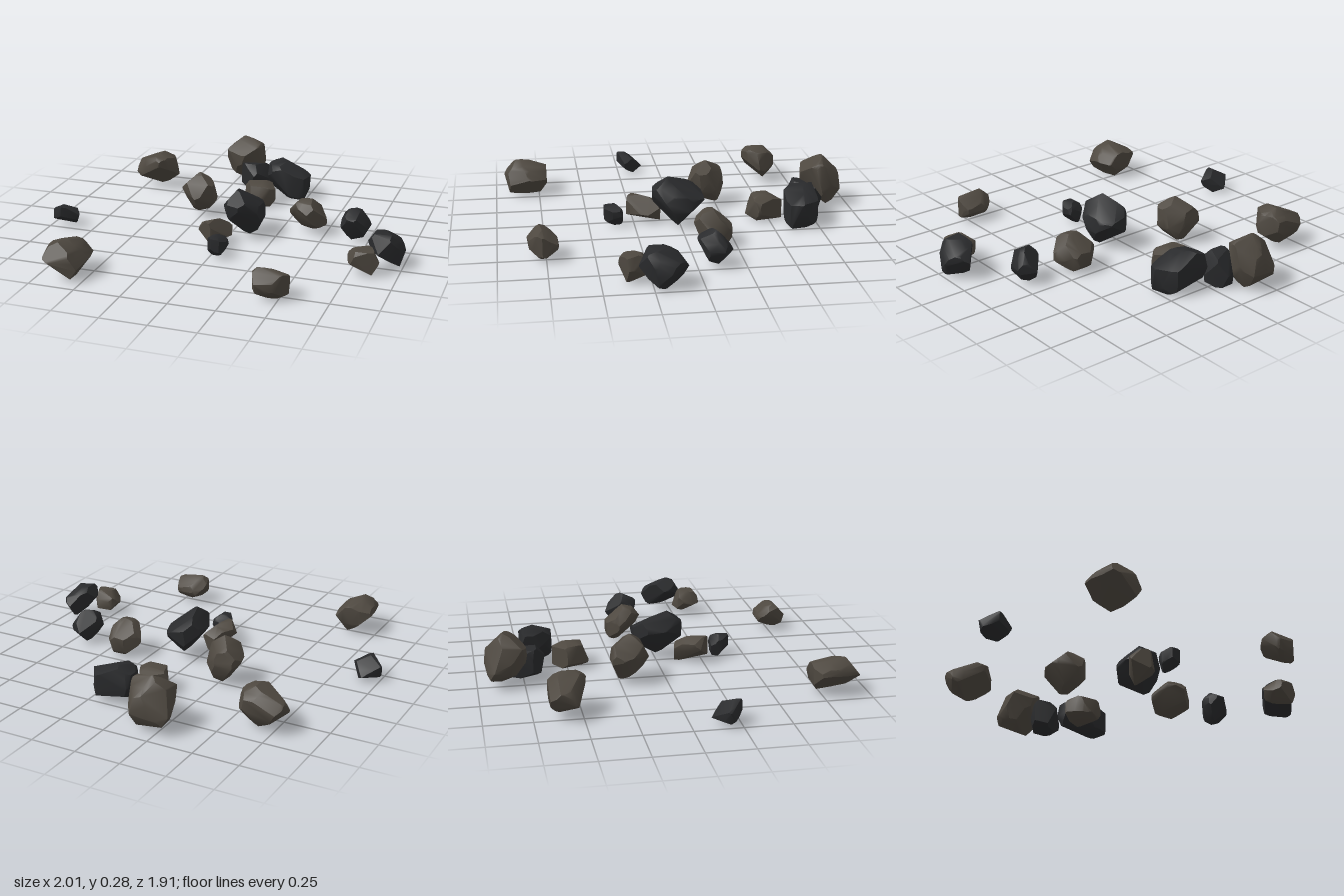
import * as THREE from 'three';
import { ConvexGeometry } from 'three/addons/geometries/ConvexGeometry.js';
import { toCreasedNormals } from 'three/addons/utils/BufferGeometryUtils.js';

const brown = new THREE.MeshStandardMaterial({ name: 'brownStone', color: 0x4e4840 });
const dark = new THREE.MeshStandardMaterial({ name: 'darkStone', color: 0x292a2c });

const V = (x, y, z) => new THREE.Vector3(x, y, z);
const SLACK = 0.006;

// A tilted carving plane, turned about y and raised, with its origin at the mid height
function tilted(turn, rise) {
  const t = THREE.MathUtils.degToRad(turn), e = THREE.MathUtils.degToRad(rise);
  return {
    u: V(Math.cos(t), 0, -Math.sin(t)),
    v: V(-Math.sin(e) * Math.sin(t), Math.cos(e), -Math.sin(e) * Math.cos(t)),
    origin: V(0, 0.1425, 0),
  };
}

// Planes on which the carving profiles are drawn
const planes = {
  plan: { u: V(1, 0, 0), v: V(0, 0, 1), origin: V(0, 0, 0) },
  front: { u: V(1, 0, 0), v: V(0, 1, 0), origin: V(0, 0, 0) },
  side: { u: V(0, 0, 1), v: V(0, 1, 0), origin: V(0, 0, 0) },
  fore: tilted(35, 25),
  rear: tilted(215, 25),
  under: tilted(140, -30),
};

function corners(geometry) {
  const p = geometry.attributes.position;
  return Array.from({ length: p.count }, (_, i) => V().fromBufferAttribute(p, i));
}

function unique(points, step) {
  const seen = new Map();
  for (const p of points) seen.set(p.toArray().map((c) => Math.round(c / step)).join(), p);
  return [...seen.values()];
}

// Slice a convex body, keeping the part where normal . p <= limit
function slice(body, normal, limit) {
  const tri = corners(body);
  const depth = tri.map((p) => normal.dot(p) - limit);
  if (depth.every((d) => d <= 0)) return body;
  const kept = tri.filter((_, i) => depth[i] <= 0);
  for (let i = 0; i < tri.length; i++) {
    const j = i % 3 === 2 ? i - 2 : i + 1;
    if (depth[i] * depth[j] < 0) kept.push(tri[i].clone().lerp(tri[j], depth[i] / (depth[i] - depth[j])));
  }
  return new ConvexGeometry(unique(kept, 1e-4));
}

// A chipped stone, carved from a block along convex profiles (pairs, in hundredths)
function stone(name, material, profiles) {
  let body = new ConvexGeometry(unique(corners(new THREE.BoxGeometry(2.4, 0.3, 2.4).translate(0, 0.153, 0)), 1e-4));
  for (const [key, profile] of Object.entries(profiles)) {
    const { u, v, origin } = planes[key];
    const pts = [];
    for (let i = 0; i < profile.length; i += 2) pts.push(new THREE.Vector2(profile[i], profile[i + 1]).divideScalar(100));
    const centre = pts.reduce((s, p) => s.add(p), new THREE.Vector2()).divideScalar(pts.length);
    pts.forEach((a, i) => {
      const b = pts[(i + 1) % pts.length];
      const n = new THREE.Vector2(b.y - a.y, a.x - b.x).normalize();
      if (n.dot(a) < n.dot(centre)) n.negate();
      const normal = u.clone().multiplyScalar(n.x).addScaledVector(v, n.y);
      body = slice(body, normal, n.dot(a) + normal.dot(origin) + SLACK);
    });
  }
  const mesh = new THREE.Mesh(toCreasedNormals(new ConvexGeometry(unique(corners(body), 0.012)), 0.7), material);
  mesh.name = name;
  return mesh;
}

export function createModel() {
  const group = new THREE.Group();
  group.name = 'scatteredStones';

  // Back cluster
  group.add(
    stone('backTallStone', brown, {
      plan: [-31, -91, -27, -94, -12, -95, -9, -89, -9, -81, -16, -73, -31, -77],
      front: [-31, 10, -28, 22, -20, 28.5, -9, 25, -8, 10, -14, 0, -25, 0],
      side: [-73, 10, -74, 19, -85, 28.5, -94, 20, -95, 10, -89, 0, -78, 0],
      fore: [20, 42, 23, 46, 33, 47, 42, 40, 44, 32, 39, 22, 26, 26],
      rear: [-46, -44, -43, -23, -39, -21, -20, -25, -20, -29, -27, -47],
      under: [59, 35, 61, 39, 73, 38, 83, 19, 70, 16, 62, 22] }),
    stone('backSmallStone', dark, {
      plan: [-17, -70, -8, -63, 0, -73, -7, -83, -15, -78],
      front: [-18, 6, -16, 17, 0, 15, 0, 3, -4, 0, -15, 0],
      side: [-63, 10, -68, 16, -80, 14, -83, 8, -80, 0, -66, 0],
      under: [46, 20, 53, 28, 62, 20, 60, 13, 51, 11] }),
    stone('backBlockStone', dark, {
      plan: [1, -75, 20, -74, 27, -66, 24, -59, 17, -57, 5, -59, 1, -63],
      front: [1, 5, 1, 18, 10, 21.5, 27, 17, 24, 1, 3, 0],
      side: [-57, 8, -58, 19, -73, 21.5, -75, 12, -73, 1, -58, 0],
      fore: [38, 20, 40, 28, 47, 31, 59, 22, 60, 10, 54, 3, 46, 6],
      rear: [-60, -30, -59, -16, -42, -14, -37, -18, -38, -32],
      under: [18, 28, 22, 34, 44, 36, 47, 27, 43, 20, 21, 16] }),
    stone('backCubeStone', brown, {
      plan: [-8, -50, 4, -57, 11, -44, 1, -38, -7, -44],
      front: [-9, 2, -9, 12, 3, 13.5, 11, 10, 10, 0, -7, 0],
      side: [-38, 2, -42, 12, -46, 13.5, -57, 13, -57, 1, -40, 1],
      fore: [21, 3, 22, 15, 24, 17, 37, 15, 36, 6, 31, 1],
      under: [19, 11, 22, 20, 39, 20, 39, 8, 24, 4] }),
    stone('backOuterStone', brown, {
      plan: [-79, -66, -60, -67, -54, -58, -56, -54, -63, -48, -79, -54],
      front: [-79, 9, -79, 15, -64, 21.5, -57, 19, -53, 11, -60, 0, -65, 1],
      side: [-48, 18, -51, 21.5, -60, 21.5, -66, 16, -66, 8, -60, 0, -50, 0],
      fore: [-35, 33, -30, 41, -19, 44, -11, 40, -11, 29, -18, 25, -32, 30],
      rear: [11, -40, 13, -29, 16, -27, 25, -28, 35, -44, 19, -49],
      under: [77, 1, 80, 8, 89, 9, 101, -2, 94, -11] }),
  );

  // Middle cluster
  group.add(
    stone('middleWestStone', brown, {
      plan: [-34, -30, -25, -29, -18, -24, -17, -16, -25, -8, -36, -17, -38, -22],
      front: [-38, 11, -37, 15, -26, 25.5, -18, 20, -17, 10, -25, 0.5, -30, 4],
      side: [-8, 10, -13, 20, -19, 25.7, -28, 22, -29, 12, -25, 2, -15, 0],
      fore: [-20, 16, -16, 22, -10, 23, -5, 20, -1, 9, -4, 4, -13, 3],
      rear: [1, -16, 4, -6, 10, -3, 19, -6, 19, -14, 10, -27, 4, -24],
      under: [22, -1, 23, 8, 39, 10, 46, -1, 35, -11, 28, -9] }),
    stone('centreStone', dark, {
      plan: [-2, -11, 13, -12, 17, -5, 17, 8, 8, 15, 2, 14, -3, 5],
      front: [-3, 17, 5, 27, 16, 18, 17, 10, 13, 0.5, 0, 1],
      side: [15, 8, 15, 20, 5, 27.5, -6, 25, -12, 18, -12, 10, -3, 1, 8, 0],
      fore: [-8, -3, -4, 6, 3, 10, 18, 3, 18, -4, 9, -16, -5, -8],
      rear: [-18, 1, -15, 6, -1, 15, 7, 13, 6, 5, -7, -9],
      under: [-18, 3, -13, 9, 4, 11, 5, 3, -9, -8] }),
    stone('centreLeaningStone', brown, {
      plan: [-12, 22, -4, 10, 5, 12, 5, 20, -3, 28],
      front: [-12, 8, -9, 14, 4, 14, 5, 5, -2, 0, -6, 2],
      fore: [-23, -11, -20, -7, -8, -6, -4, -10, -6, -15, -19, -18],
      under: [-18, -22, -17, -15, -9, -8, -3, -11, -6, -17] }),
    stone('centrePebble', dark, {
      plan: [-1, 32, 8, 32, 8, 37, 6, 41, 2, 41, -1, 37],
      front: [-1, 1, -2, 9, 3, 12.5, 8, 9, 8, 1],
      side: [31, 5, 33, 12, 41, 11, 42, 5, 38, 0, 33, 0],
      fore: [-23, -16, -19, -15, -14, -15, -12, -20, -18, -26, -22, -22],
      under: [-32, -17, -27, -13, -21, -19, -23, -25, -31, -22] }),
    stone('middleEastStone', brown, {
      plan: [29, -16, 36, -22, 46, -22, 50, -18, 50, -10, 40, -2, 33, -9],
      front: [28, 10, 36, 19, 42, 20, 50, 16, 51, 8, 47, 1, 40, 0, 29, 8],
      side: [-2, 12, -7, 18, -14, 20, -22, 16, -23, 6, -18, 0, -6, 0],
      fore: [32, -4, 34, 0, 39, 1, 47, -5, 50, -9, 48, -15, 41, -17],
      rear: [-49, 0, -46, 9, -39, 14, -33, 8, -32, -4, -40, -9, -47, -7],
      under: [-34, 15, -24, 23, -13, 17, -11, 11, -17, 8, -31, 11] }),
    stone('middleFarStone', dark, {
      plan: [61, -10, 66, -19, 75, -13, 74, -6, 68, -1, 61, -2],
      front: [61, 10, 62, 17, 67, 19, 72, 16, 75, 9, 70, 0, 66, 1],
      side: [-1, 14, -9, 19, -16, 15, -19, 8, -13, 0, -8, 0],
      fore: [51, -16, 58, -9, 63, -9, 70, -17, 69, -24, 55, -25],
      rear: [-70, 8, -63, 17, -54, 16, -52, 8, -61, 0],
      under: [-54, 20, -47, 30, -40, 23, -41, 18, -46, 13] }),
  );

  // Side stones
  group.add(
    stone('eastStone', dark, {
      plan: [81, 18, 92, 7, 100, 17, 98, 25, 89, 31, 83, 25],
      front: [81, 12, 86, 19, 95, 18.5, 100, 9, 98, 2, 88, 1],
      side: [32, 9, 26, 19, 15, 19, 8, 10, 10, 6, 18, 0, 28, 2],
      fore: [53, -28, 58, -23, 71, -25, 73, -33, 68, -43, 54, -36],
      rear: [-73, 26, -63, 35, -54, 34, -54, 28, -66, 15],
      under: [-91, 20, -87, 25, -75, 26, -76, 16, -90, 13] }),
    stone('eastSmallStone', brown, {
      plan: [73, 29, 83, 26, 91, 36, 77, 40, 73, 35],
      front: [73, 9, 79, 14, 87, 14, 90, 8, 88, 1, 80, 0],
      side: [42, 8, 38, 13, 30, 14, 26, 5, 38, 1],
      fore: [40, -39, 44, -31, 54, -31, 55, -37, 49, -46],
      rear: [-54, 27, -51, 33, -44, 33, -39, 26, -44, 19, -53, 19],
      under: [-94, 7, -90, 15, -76, 15, -76, 4, -92, 3] }),
    stone('westPebble', dark, {
      plan: [-100, 18, -92, 11, -84, 21, -93, 25, -99, 21],
      front: [-100, 8, -92, 12.5, -84, 7, -87, 1, -99, 2],
      fore: [-92, 15, -80, 11, -82, 4, -94, 8],
      rear: [80, -17, 90, -16, 94, -28, 82, -28],
      under: [50, -41, 54, -38, 65, -44, 64, -50, 52, -44] }),
  );

  // Front stones
  group.add(
    stone('frontLargeStone', brown, {
      plan: [-73, 74, -66, 71, -52, 71, -50, 82, -52, 91, -69, 95],
      front: [-73, 10, -71, 15, -62, 19.5, -53, 15, -50, 11, -57, 1, -68, 1],
      side: [95, 9, 87, 19.5, 71, 16, 70, 8, 75, 0.5, 92, 1],
      fore: [-111, -18, -104, -9, -89, -8, -84, -16, -97, -30],
      rear: [84, 8, 93, 17, 107, 20, 111, 13, 91, -1],
      under: [-20, -65, -18, -58, -12, -49, -1, -45, 5, -46, 9, -54] }),
    stone('frontSmallStone', brown, {
      plan: [35, 72, 45, 68, 53, 70, 54, 77, 48, 83, 39, 84],
      front: [36, 12, 41, 17, 54, 13, 54, 2, 44, 0, 39, 4],
      side: [84, 9, 78, 15.5, 70, 12, 69, 7, 73, 0.5, 82, 2],
      fore: [-16, -43, -15, -35, -12, -34, 3, -42, 1, -49, -6, -51, -15, -47],
      rear: [-3, 30, -1, 40, 16, 37, 16, 28, 6, 26],
      under: [-92, -20, -91, -12, -80, -14, -75, -20, -84, -28, -92, -22] }),
  );

  return group;
}
